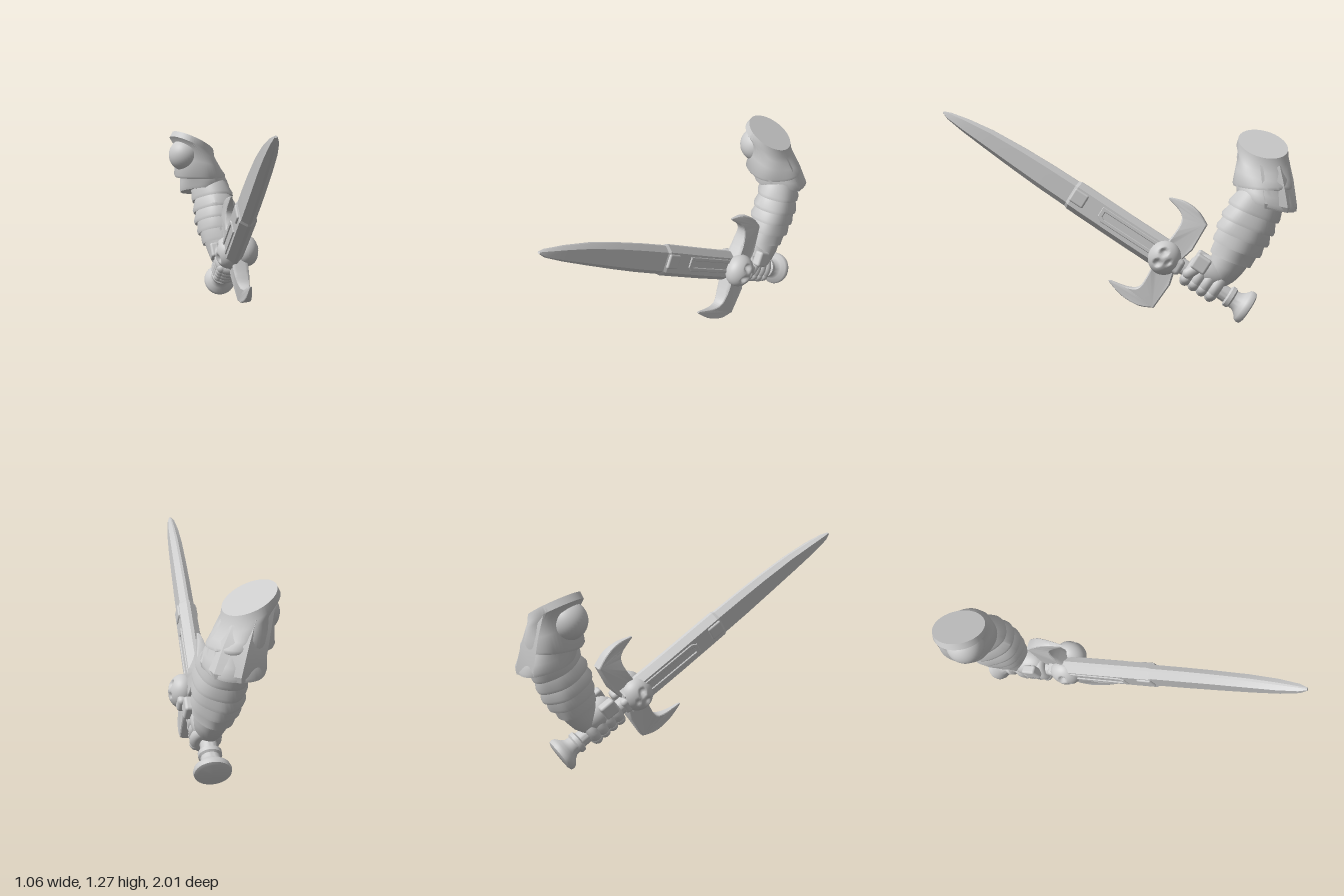
import * as THREE from 'three';
import { toCreasedNormals } from 'three/addons/utils/BufferGeometryUtils.js';
import { RoundedBoxGeometry } from 'three/addons/geometries/RoundedBoxGeometry.js';

const mat = new THREE.MeshStandardMaterial({ color: 0xcccccc });
const matDouble = new THREE.MeshStandardMaterial({ color: 0xcccccc, side: THREE.DoubleSide });
const clamp = THREE.MathUtils.clamp;
const vectors = (list) => list.map((q) => new THREE.Vector2(...q));

function group(parent, name) {
  const g = new THREE.Group();
  g.name = name;
  if (parent) parent.add(g);
  return g;
}

function add(parent, name, geometry, pos = [0, 0, 0], material = mat) {
  const mesh = new THREE.Mesh(geometry, material);
  mesh.name = name;
  mesh.position.set(...pos);
  parent.add(mesh);
  return mesh;
}

// Skin a stack of point rings, listed from top to bottom
function loft(rings, crease, closed = true) {
  const n = rings[0].length, out = [];
  const put = (...pts) => pts.forEach((p) => out.push(...p));
  const mid = (r) => [0, 1, 2].map((c) => r.reduce((sum, p) => sum + p[c], 0) / n);
  const top = rings[0], bottom = rings[rings.length - 1];
  for (let j = 0; j < (closed ? n : n - 1); j++) {
    const k = (j + 1) % n;
    for (let i = 0; i < rings.length - 1; i++) {
      const r = rings[i], s = rings[i + 1];
      put(r[j], r[k], s[j], r[k], s[k], s[j]);
    }
    if (closed) put(mid(top), top[k], top[j], mid(bottom), bottom[j], bottom[k]);
  }
  const g = new THREE.BufferGeometry();
  g.setAttribute('position', new THREE.Float32BufferAttribute(out, 3));
  return toCreasedNormals(g, crease);
}

// Sloped ellipse: centre, radii, and rise of y along x and z; fold adds soft waves
function ring([cx, cy, cz, rx, rz, sx, sz], fold = 0, seg = 48, from = 0, to = Math.PI * 2) {
  const pts = [], full = to - from > 6;
  for (let j = 0; j < (full ? seg : seg + 1); j++) {
    const t = from + ((to - from) * j) / seg;
    const k = 1 + fold * Math.sin(5 * t + cy * 14);
    const dx = Math.cos(t) * rx * k, dz = Math.sin(t) * rz * k;
    pts.push([cx + dx, cy + sx * dx + sz * dz, cz + dz]);
  }
  return pts;
}

// Hooked guard horn, thinning toward its outer end and tip
function hornGeometry(tip) {
  const horn = new THREE.Shape();
  horn.moveTo(0, -0.075).lineTo(0.13, -0.11).lineTo(0.3, -0.103);
  horn.splineThru(vectors([[0.338, -0.02], [0.345, tip * 0.45], [0.318, tip]]));
  horn.splineThru(vectors([[0.293, tip * 0.45], [0.25, 0.03], [0.16, 0.022], [0, 0.04]]));
  const g = new THREE.ExtrudeGeometry(horn, {
    depth: 0.06, bevelThickness: 0.022, bevelSize: 0.008, bevelSegments: 2, curveSegments: 16,
  }).translate(0, 0, -0.03);
  const p = g.attributes.position;
  for (let i = 0; i < p.count; i++) {
    const x = p.getX(i), outward = clamp((x - 0.12) / 0.22, 0, 1);
    const tipward = clamp((x - 0.18) / 0.08, 0, 1) * clamp((p.getY(i) + 0.02) / (tip + 0.02), 0, 1);
    p.setZ(i, p.getZ(i) * (1 - 0.35 * outward) * (1 - 0.75 * tipward));
  }
  return toCreasedNormals(g, 0.6);
}

// Skull: sphere with eye and nose pits pressed in
function skullGeometry() {
  const g = new THREE.SphereGeometry(1, 48, 36).scale(0.106, 0.1, 0.084);
  const p = g.attributes.position;
  for (let i = 0; i < p.count; i++) {
    if (p.getZ(i) <= 0) continue;
    for (const [x, y, r] of [[0.038, 0.02, 0.027], [-0.038, 0.02, 0.027], [0, -0.035, 0.018]]) {
      const d = Math.hypot(p.getX(i) - x, p.getY(i) - y) / r;
      if (d < 1) p.setZ(i, p.getZ(i) - r * 1.1 * (1 - d * d));
    }
  }
  g.computeVertexNormals();
  return g;
}

// Sword frame: x across the blade, y along it, z out of its flat
function makeSword(parent) {
  const sword = group(parent, 'sword');

  // Blade: bevelled section, [distance, half width, half thickness, sideways shift]
  const blade = [
    [1.664, 0.006, 0.008, 0], [1.62, 0.023, 0.022, 0], [1.5, 0.043, 0.034, 0.006],
    [1.33, 0.062, 0.04, 0.012], [1.1, 0.077, 0.043, 0.012], [0.9, 0.085, 0.045, 0.01],
    [0.7, 0.088, 0.046, 0.008], [0.68, 0.096, 0.054, 0.008], [0.3, 0.097, 0.055, 0.002], [-0.08, 0.097, 0.055, 0],
  ].map(([y, w, t, s]) => [
    [1, 0.2], [0.66, 1], [-0.66, 1], [-1, 0.2], [-1, -0.2], [-0.66, -1], [0.66, -1], [1, -0.2],
  ].map(([x, z]) => [x * w + s, y, z * t]));
  add(sword, 'blade', loft(blade, 0.3));

  // Long slot frame for each flat
  const frame = new THREE.Shape(vectors([[-0.04, 0.05], [0.042, 0.05], [0.042, 0.48], [-0.02, 0.48], [-0.04, 0.45]]));
  frame.holes.push(new THREE.Path(vectors([[-0.024, 0.07], [-0.024, 0.44], [-0.012, 0.46], [0.026, 0.46], [0.026, 0.07]])));
  const frameGeo = new THREE.ExtrudeGeometry(frame, {
    depth: 0.008, bevelThickness: 0.004, bevelSize: 0.004, bevelSegments: 1,
  });

  // Guard sits slightly off the blade's mid plane; both faces and both horns alike
  const guard = group(sword, 'guard');
  guard.position.z = 0.035;
  for (const [side, turn, sign, tip] of [['left', 0, 1, 0.165], ['right', Math.PI, -1, 0.205]]) {
    const half = group(guard, side + 'GuardHalf');
    half.rotation.y = turn;
    add(half, 'skull', skullGeometry(), [0, 0, 0.06]);
    add(half, 'skullJaw', new RoundedBoxGeometry(0.1, 0.08, 0.085, 3, 0.025), [0, -0.085, 0.06]);
    add(half, 'guardHorn', hornGeometry(tip));

    const flat = group(sword, side + 'BladeFlat');
    flat.rotation.y = turn;
    add(flat, 'slotFrame', frameGeo, [0.008 * sign, 0, 0.05]);
    add(flat, 'bladeBlock', new RoundedBoxGeometry(0.09, 0.1, 0.04, 3, 0.012), [0.015 * sign, 0.64, 0.044]);

    // Armoured plate beside the back of the hand
    add(sword, 'handPlate', new RoundedBoxGeometry(0.1, 0.1, 0.06, 3, 0.016), [0.09, -0.205, 0.01 + 0.085 * sign]);
  }

  // Grip and flared pommel
  const profile = vectors([
    [0, -0.605], [0.085, -0.605], [0.105, -0.597], [0.109, -0.58], [0.102, -0.56], [0.075, -0.54], [0.058, -0.515],
    [0.056, -0.49], [0.068, -0.48], [0.068, -0.455], [0.05, -0.445], [0.048, -0.08], [0, -0.08],
  ]);
  add(sword, 'gripAndPommel', toCreasedNormals(new THREE.LatheGeometry(profile, 40), 0.7), [0, 0, -0.012]);

  // Fist: curled fingers, knuckles, palm and thumb
  for (let i = 0; i < 4; i++) {
    const y = -0.18 - i * 0.06;
    const finger = add(sword, 'finger', new THREE.TorusGeometry(0.056, 0.037, 14, 28), [0.006, y, 0]);
    finger.rotation.x = Math.PI / 2;
    finger.scale.x = 1.12;
    for (const z of [-0.05, 0.05]) add(sword, 'knuckle', new THREE.SphereGeometry(0.036, 16, 12), [-0.042, y, z]);
  }
  add(sword, 'palm', new THREE.SphereGeometry(1, 28, 20), [0.07, -0.28, 0]).scale.set(0.09, 0.13, 0.09);
  add(sword, 'thumb', new THREE.CapsuleGeometry(0.034, 0.08, 6, 14), [0.03, -0.19, 0.07]).rotation.z = 1.1;

  // Place the sword: guard centre, blade direction, guard direction
  sword.position.set(0.152, 0.405, -0.24);
  const along = new THREE.Vector3(-0.53, 1.27, 1).sub(sword.position).normalize();
  const across = new THREE.Vector3(0.165, 0.843, -0.512);
  across.addScaledVector(along, -across.dot(along)).normalize();
  const out = new THREE.Vector3().crossVectors(across, along);
  sword.quaternion.setFromRotationMatrix(new THREE.Matrix4().makeBasis(across, along, out));
}

function makeArm(parent) {
  const arm = group(parent, 'arm');

  // Upper sleeve: sloping cut top, two flared tiers
  const sleeve = [
    [0.262, 1.09, -0.83, 0.137, 0.155, -0.56, 0], [0.256, 1.045, -0.83, 0.155, 0.16, -0.56, 0],
    [0.285, 1.0, -0.825, 0.143, 0.16, -0.5, 0], [0.296, 0.93, -0.818, 0.155, 0.174, -0.3, 0.05],
    [0.302, 0.855, -0.81, 0.18, 0.18, -0.02, 0.02], [0.308, 0.838, -0.81, 0.176, 0.176, -0.02, 0.02],
    [0.325, 0.842, -0.81, 0.155, 0.162, -0.06, 0.1], [0.338, 0.8, -0.815, 0.162, 0.174, -0.1, 0.22],
    [0.348, 0.755, -0.818, 0.172, 0.18, -0.1, 0.25], [0.35, 0.735, -0.818, 0.169, 0.176, -0.1, 0.25],
    [0.36, 0.745, -0.8, 0.11, 0.12, -0.1, 0.25],
  ];
  add(arm, 'sleeve', loft(sleeve.map((r, i) => ring(r, i > 1 && i < 10 ? 0.018 : 0, 60)), 0.75));

  // Angular plate over the outer back of the elbow
  const plate = [
    [0.262, 1.04, -0.83, 0.15, 0.158, -0.5, 0], [0.305, 0.92, -0.825, 0.168, 0.174, -0.35, 0.08],
    [0.35, 0.76, -0.822, 0.18, 0.182, -0.12, 0.2], [0.35, 0.73, -0.822, 0.174, 0.178, -0.12, 0.2],
    [0.35, 0.735, -0.822, 0.14, 0.14, -0.12, 0.2],
  ];
  add(arm, 'elbowPlate', loft(plate.map((r) => ring(r, 0, 3, -1.9, 0.55)), 0.3, false), [0, 0, 0], matDouble);

  // Ball on the inner side of the sleeve
  add(arm, 'shoulderBall', new THREE.SphereGeometry(0.112, 36, 26), [0.183, 1.0, -0.815]);

  // Forearm: overlapping bands, each flaring down to a ledge, then the wrist
  const rings = [ring([0.36, 0.79, -0.785, 0.115, 0.135, -0.12, 0.3])];
  for (const [x, y, z, rx, rz] of [
    [0.358, 0.68, -0.73, 0.136, 0.16], [0.35, 0.605, -0.692, 0.142, 0.164], [0.338, 0.535, -0.662, 0.14, 0.164],
    [0.33, 0.465, -0.632, 0.13, 0.15], [0.32, 0.395, -0.6, 0.11, 0.128],
  ]) {
    for (const [lift, back, scale] of [[0.02, -0.008, 1], [0, 0, 0.98], [0.006, 0, 0.87]]) {
      rings.push(ring([x, y + lift, z + back, rx * scale, rz * scale, -0.14, 0.38], 0.02));
    }
  }
  rings.push(ring([0.316, 0.345, -0.572, 0.088, 0.1, -0.1, 0.4]));
  rings.push(ring([0.306, 0.29, -0.54, 0.075, 0.085, -0.1, 0.4]));
  rings.push(ring([0.29, 0.24, -0.505, 0.05, 0.06, -0.1, 0.4]));
  add(arm, 'forearmBands', loft(rings, 0.7));

  // Small plates on the front of the forearm
  for (const [x, y, z, h] of [[0.315, 0.59, -0.545, 0.12], [0.305, 0.49, -0.52, 0.075]]) {
    const guard = add(arm, 'forearmPlate', new RoundedBoxGeometry(0.08, h, 0.04, 3, 0.012), [x, y, z]);
    guard.rotation.set(-0.35, -0.3, 0.08);
  }
}

export function createModel() {
  const model = group(null, 'armWithSword');
  makeSword(model);
  makeArm(model);
  return model;
}
